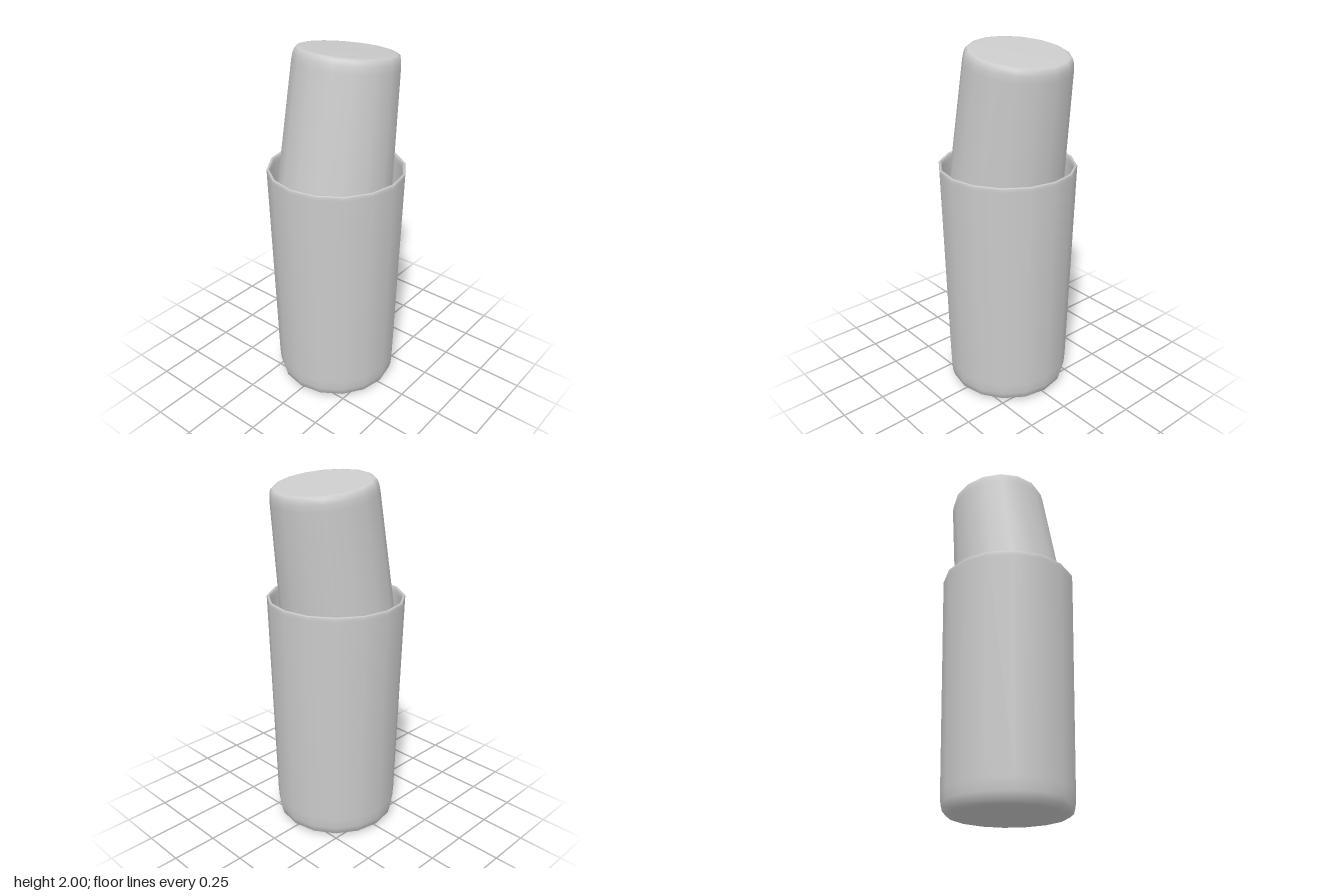
import * as THREE from 'three';

const material = new THREE.MeshStandardMaterial({ color: 0xcccccc });
const SIDES = 16;

// Thin-walled vessel turned from a closed [radius, height] profile
function turned(name, profile) {
  const points = profile.map(([r, y]) => new THREE.Vector2(r, y));
  const mesh = new THREE.Mesh(new THREE.LatheGeometry(points, SIDES), material);
  mesh.name = name;
  return mesh;
}

export function createModel() {
  const group = new THREE.Group();
  group.name = 'stackedCups';

  // Tall cup: base, rounded corner, outer wall, rim, inner wall, floor
  group.add(turned('tallCup', [
    [0, 0], [0.29, 0], [0.315, 0.005], [0.337, 0.022], [0.347, 0.06], [0.351, 0.12],
    [0.379, 1.325], [0.38, 1.343], [0.376, 1.35], [0.369, 1.35], [0.364, 1.343],
    [0.361, 1.32], [0.334, 0.12], [0.328, 0.06], [0.3, 0.03], [0.28, 0.025], [0, 0.025],
  ]));

  // Small cup: upside down, leaning inside the tall one
  const smallCup = turned('smallCup', [
    [0, 0.935], [0.245, 0.935], [0.262, 0.915], [0.269, 0.88],
    [0.308, 0.02], [0.311, 0.004], [0.316, 0], [0.322, 0], [0.326, 0.006], [0.325, 0.025],
    [0.285, 0.885], [0.281, 0.92], [0.274, 0.945], [0.262, 0.955], [0.245, 0.957], [0, 0.957],
  ]);
  smallCup.position.set(-0.04, 1.02, 0);
  smallCup.rotation.z = -0.137;
  group.add(smallCup);

  return group;
}
